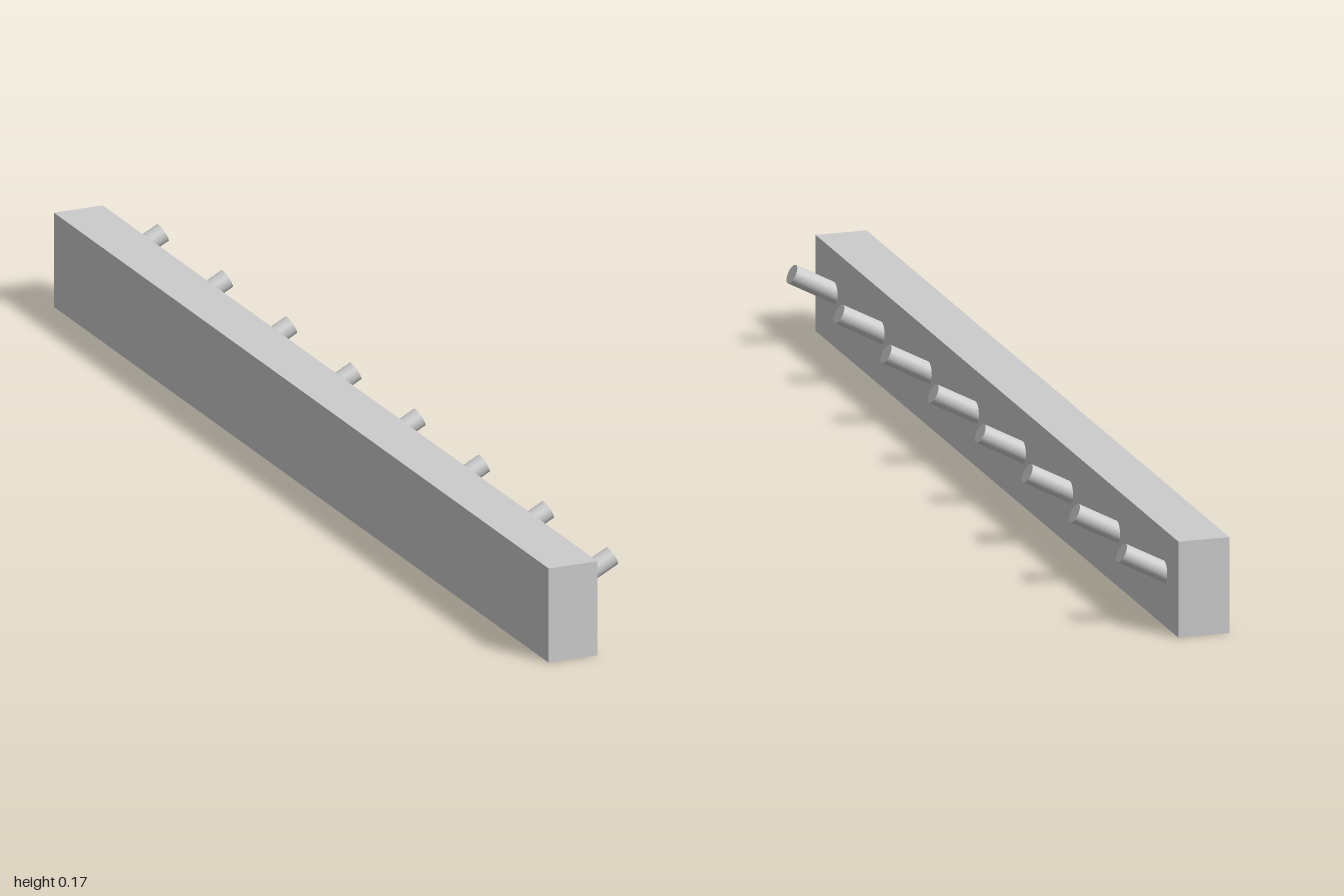
import * as THREE from 'three';

export function createModel() {
  const group = new THREE.Group();
  const material = new THREE.MeshStandardMaterial({ color: 0xcccccc });

  // Long wall rail
  const rail = new THREE.Mesh(new THREE.BoxGeometry(0.09, 0.167, 2), material);
  rail.name = 'rail';
  rail.position.set(-0.042, 0.0835, 0);
  group.add(rail);

  // Row of round pegs, tilted upward and sunk slightly into the rail face
  const pegCount = 8, firstZ = 0.895, spacing = 0.2595;
  const root = new THREE.Vector3(-0.012, 0.086, 0);
  const tip = new THREE.Vector3(0.078, 0.133, 0);
  const axis = tip.clone().sub(root);
  const pegGeometry = new THREE.CylinderGeometry(0.017, 0.017, axis.length(), 32);
  const tilt = Math.atan2(axis.y, axis.x) - Math.PI / 2;

  const pegs = new THREE.Group();
  pegs.name = 'pegs';
  for (let i = 0; i < pegCount; i++) {
    const peg = new THREE.Mesh(pegGeometry, material);
    peg.name = `peg${i + 1}`;
    peg.position.copy(root).lerp(tip, 0.5);
    peg.position.z = firstZ - i * spacing;
    peg.rotation.z = tilt;
    pegs.add(peg);
  }
  group.add(pegs);

  return group;
}
